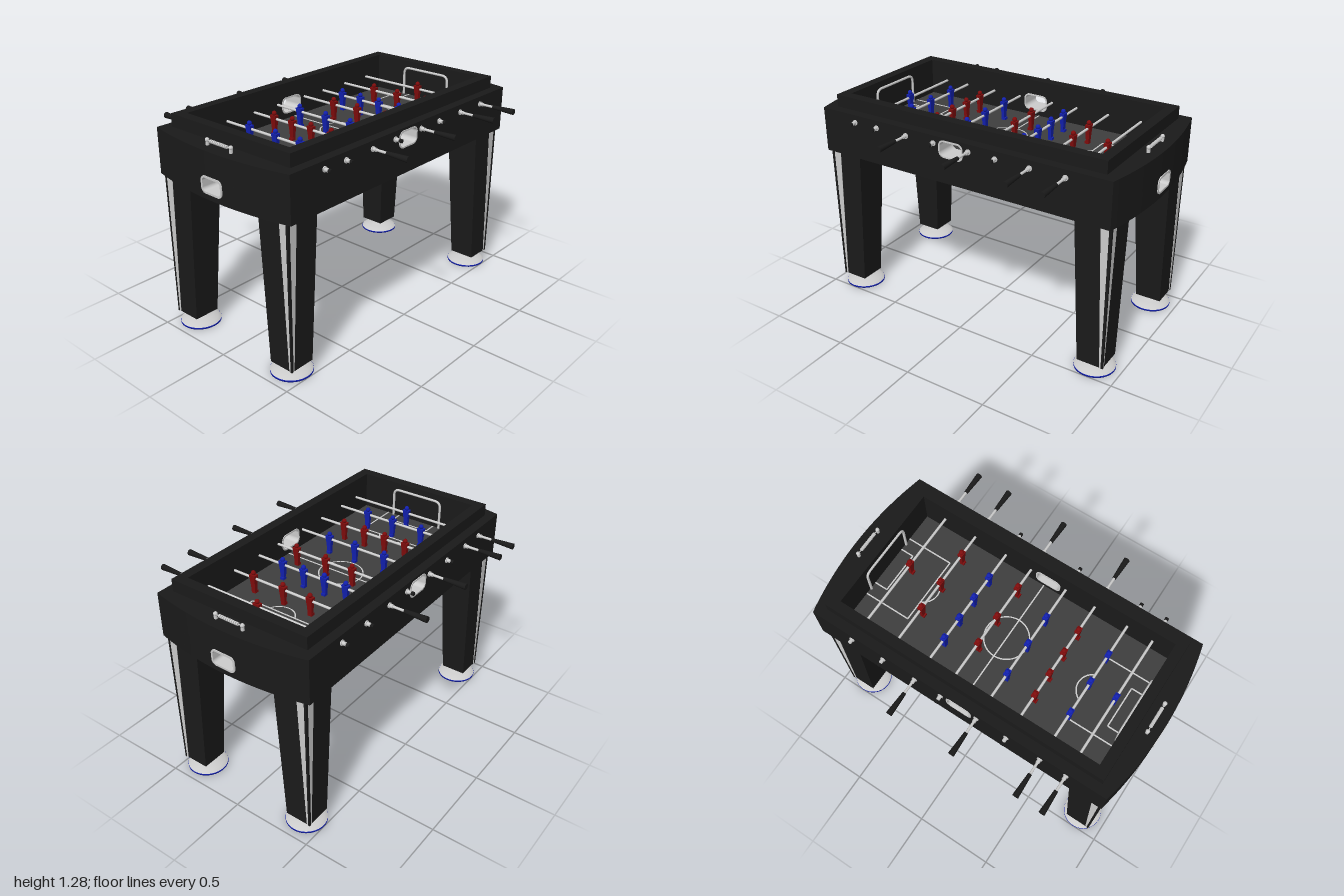
import * as THREE from 'three';

const mat = (color) => new THREE.MeshStandardMaterial({ color });
const grey = mat(0xcccccc), black = mat(0x1a1a1a), turf = mat(0x3e3e3e);
const blue = mat(0x1220b0), red = mat(0x800c0c);

function add(parent, name, geo, material, x = 0, y = 0, z = 0) {
  const m = new THREE.Mesh(geo, material);
  m.name = name;
  m.position.set(x, y, z);
  parent.add(m);
  return m;
}

const box = (w, h, d) => new THREE.BoxGeometry(w, h, d);
const cylZ = (r1, r2, len, n = 20) => new THREE.CylinderGeometry(r1, r2, len, n).rotateX(Math.PI / 2);
const extrude = (shape, depth) => new THREE.ExtrudeGeometry(shape, { depth, bevelEnabled: false, curveSegments: 10 });

// Rounded rectangle outline centred on (cx, cy)
function roundRect(path, cx, cy, w, h, r) {
  const a = w / 2 - r, b = h / 2 - r;
  path.moveTo(cx + a + r, cy - b);
  path.absarc(cx + a, cy + b, r, 0, Math.PI / 2);
  path.absarc(cx - a, cy + b, r, Math.PI / 2, Math.PI);
  path.absarc(cx - a, cy - b, r, Math.PI, Math.PI * 1.5);
  path.absarc(cx + a, cy - b, r, Math.PI * 1.5, Math.PI * 2);
  path.closePath();
  return path;
}

function ringShape(w, h, r, t) {
  const s = roundRect(new THREE.Shape(), 0, 0, w, h, r);
  s.holes.push(roundRect(new THREE.Path(), 0, 0, w - 2 * t, h - 2 * t, r - t));
  return s;
}

function rectShape(w, h) {
  return new THREE.Shape([[-w, -h], [w, -h], [w, h], [-w, h]].map(([x, y]) => new THREE.Vector2(x / 2, y / 2)));
}

// Box tapered between a bottom and a top rectangle [x0, x1, z0, z1]
function taper(bottom, top, y0, y1) {
  const g = box(1, 1, 1), p = g.attributes.position;
  for (let i = 0; i < p.count; i++) {
    const up = p.getY(i) > 0, r = up ? top : bottom;
    const [xa, xb] = [Math.min(r[0], r[1]), Math.max(r[0], r[1])];
    const [za, zb] = [Math.min(r[2], r[3]), Math.max(r[2], r[3])];
    p.setXYZ(i, p.getX(i) > 0 ? xb : xa, up ? y1 : y0, p.getZ(i) > 0 ? zb : za);
  }
  g.computeVertexNormals();
  return g;
}

const IX = 0.82, IZ = 0.39, OZ = 0.505, FIELD = 1.06, ROD = 1.165;

// Bowed end block; notch leaves room for the ball return
function endLayer(y0, y1, notch) {
  const pts = [new THREE.Vector2(IX, -OZ)];
  const bow = (z) => new THREE.Vector2(0.94 + 0.06 * (1 - (z / OZ) ** 2), z);
  const range = (a, b, n) => { for (let i = 0; i <= n; i++) pts.push(bow(a + (b - a) * i / n)); };
  if (notch) {
    range(-OZ, -0.073, 10);
    pts.push(new THREE.Vector2(0.9, -0.073), new THREE.Vector2(0.9, 0.073));
    range(0.073, OZ, 10);
  } else range(-OZ, OZ, 24);
  pts.push(new THREE.Vector2(IX, OZ));
  return extrude(new THREE.Shape(pts), y1 - y0).rotateX(-Math.PI / 2).translate(0, y0, 0);
}

function makeEnd() {
  const g = new THREE.Group();
  add(g, 'endWallBottom', endLayer(0.94, 0.983, false), black);
  add(g, 'endWallMiddle', endLayer(0.983, 1.062, true), black);
  add(g, 'endWallTop', endLayer(1.062, 1.21, false), black);
  add(g, 'ballReturnFrame', extrude(ringShape(0.16, 0.1, 0.032, 0.012), 0.104).rotateY(Math.PI / 2), grey, 0.9, 1.0225, 0);
  // Goal frame on the inner wall
  const path = new THREE.CurvePath(), v = (y, z) => new THREE.Vector3(IX - 0.004, y, z);
  path.add(new THREE.LineCurve3(v(FIELD, -0.17), v(1.2, -0.17)));
  path.add(new THREE.QuadraticBezierCurve3(v(1.2, -0.17), v(1.24, -0.17), v(1.24, -0.13)));
  path.add(new THREE.LineCurve3(v(1.24, -0.13), v(1.24, 0.13)));
  path.add(new THREE.QuadraticBezierCurve3(v(1.24, 0.13), v(1.24, 0.17), v(1.2, 0.17)));
  path.add(new THREE.LineCurve3(v(1.2, 0.17), v(FIELD, 0.17)));
  add(g, 'goalFrame', new THREE.TubeGeometry(path, 60, 0.008, 8), grey);
  // Score counter
  for (const z of [-0.09, 0.09]) {
    add(g, 'counterPost', new THREE.CylinderGeometry(0.01, 0.01, 0.03, 16), grey, 0.935, 1.222, z);
    add(g, 'counterKnob', new THREE.SphereGeometry(0.012, 16, 10), grey, 0.935, 1.238, z);
  }
  add(g, 'counterRod', cylZ(0.003, 0.003, 0.18, 8), grey, 0.935, 1.235, 0);
  for (let i = 0; i < 10; i++) add(g, 'counterBead', cylZ(0.01, 0.01, 0.009, 12), grey, 0.935, 1.235, -0.058 + i * 0.0129);
  return g;
}

function makeLeg(sx, sz) {
  const g = new THREE.Group();
  g.name = 'leg';
  const r = (a, b, c, d) => [a * sx, b * sx, c * sz, d * sz];
  const y0 = 0.065, y1 = 0.945;
  add(g, 'legPost', taper(r(0.77, 0.928, 0.31, 0.469), r(0.72, 0.933, 0.265, 0.472), y0, y1), black);
  // Metal wedges either side of a dark corner rib
  add(g, 'legTrimLong', taper(r(0.91, 0.925, 0.45, 0.471), r(0.87, 0.925, 0.45, 0.474), y0, y1), grey);
  add(g, 'legTrimEnd', taper(r(0.91, 0.93, 0.452, 0.463), r(0.91, 0.935, 0.415, 0.463), y0, y1), grey);
  add(g, 'legCornerRib', taper(r(0.919, 0.932, 0.463, 0.473), r(0.92, 0.937, 0.463, 0.476), y0, y1), black);
  const dome = [[0, 0.03], [0.04, 0.026], [0.118, 0.008], [0.119, 0.011], [0.1, 0.022], [0.07, 0.031], [0.036, 0.037], [0.034, 0.042], [0.034, 0.068]];
  const lathe = (p) => new THREE.LatheGeometry(p.map(([x, y]) => new THREE.Vector2(x, y)), 40);
  add(g, 'foot', lathe(dome), grey, 0.84 * sx, 0, 0.38 * sz);
  add(g, 'footRim', lathe([[0.112, 0.009], [0.112, 0], [0.12, 0], [0.12, 0.01], [0.112, 0.011]]), blue, 0.84 * sx, 0, 0.38 * sz);
  return g;
}

// One player hanging from a rod, facing dir along x
function makePlayer(color, dir) {
  const g = new THREE.Group();
  g.name = 'player';
  add(g, 'torso', taper([-0.011, 0.011, -0.015, 0.015], [-0.015, 0.015, -0.021, 0.021], -0.035, 0.022), color);
  add(g, 'head', new THREE.SphereGeometry(0.014, 14, 10), color, 0, 0.033, 0);
  add(g, 'legs', taper([-0.008, 0.008, -0.012, 0.012], [-0.011, 0.011, -0.015, 0.015], -0.09, -0.035), color);
  add(g, 'shoe', box(0.026, 0.014, 0.026), color, 0.004 * dir, -0.086, 0);
  return g;
}

// x, handle side, colour, player positions along the rod
const three = [-0.205, 0, 0.185], four = [-0.225, -0.08, 0.065, 0.215], away = [-0.145, 0.04, 0.25];
const RODS = [
  [-0.70, -1, blue, [0]], [-0.54, -1, blue, three], [-0.33, 1, red, four], [-0.14, -1, blue, three],
  [0.09, 1, red, away], [0.26, -1, blue, four], [0.47, 1, red, away], [0.68, 1, red, [0.04]],
];

function makeRod([x, side, color, spots]) {
  const g = new THREE.Group();
  g.name = 'playerRod';
  g.position.set(x, ROD, 0);
  add(g, 'rod', cylZ(0.0075, 0.0075, 1.16, 14), grey, 0, 0, side * 0.04);
  const handle = add(g, 'handle', cylZ(0.018, 0.011, 0.14), black, 0, 0, side * 0.67);
  if (side < 0) handle.rotation.y = Math.PI;
  add(g, 'rodEndCap', cylZ(0.011, 0.011, 0.016), black, 0, 0, -side * 0.544);
  for (const s of [-1, 1]) {
    add(g, 'bearing', cylZ(0.016, 0.016, 0.012), grey, 0, 0, s * 0.505);
    add(g, 'bearingSleeve', cylZ(0.011, 0.011, 0.025), grey, 0, 0, s * 0.518);
  }
  for (const z of spots) {
    const p = makePlayer(color, color === blue ? 1 : -1);
    p.position.z = z;
    g.add(p);
  }
  return g;
}

function makeField() {
  const g = new THREE.Group();
  g.name = 'playfield';
  add(g, 'cabinetFloor', box(2 * IX, FIELD - 0.944, 2 * IZ), black, 0, (FIELD + 0.936) / 2, 0);
  add(g, 'fieldSurface', box(2 * IX, 0.004, 2 * IZ), turf, 0, FIELD, 0);
  const y = FIELD + 0.003, t = 0.008;
  const line = (w, d, x, z) => add(g, 'fieldLine', box(w, 0.002, d), grey, x, y, z);
  const arc = (r, x, start, len) => add(g, 'fieldArc', new THREE.RingGeometry(r - t, r, 48, 1, start, len).rotateX(-Math.PI / 2), grey, x, y + 0.001, 0);
  line(t, 2 * IZ, 0, 0);
  arc(0.133, 0, 0, Math.PI * 2);
  for (const s of [-1, 1]) {
    for (const [front, half] of [[0.532, 0.21], [0.738, 0.128]]) {
      line(t, 2 * half, s * front, 0);
      for (const e of [-1, 1]) line(IX - front, t, s * (IX + front) / 2, e * half);
    }
    arc(0.0975, s * 0.568, (s > 0 ? Math.PI : 0) - 1.17, 2.34);
  }
  return g;
}

export function createModel() {
  const model = new THREE.Group();
  model.name = 'tableFootballTable';

  // Long side walls with a see-through ball window
  const wall = rectShape(2 * IX, 0.27);
  wall.holes.push(roundRect(new THREE.Path(), -0.025, 0.07, 0.15, 0.092, 0.03));
  for (const s of [-1, 1]) {
    const z0 = s > 0 ? IZ : -OZ;
    add(model, 'sideWall', extrude(wall, OZ - IZ), black, 0, 1.075, z0);
    add(model, 'ballWindowFrame', extrude(ringShape(0.16, 0.102, 0.035, 0.009), OZ - IZ + 0.008), grey, -0.025, 1.145, z0 - 0.004);
  }

  // Bowed ends
  for (const name of ['rightEnd', 'leftEnd']) {
    const end = makeEnd();
    end.name = name;
    if (name === 'rightEnd') end.rotation.y = Math.PI;
    model.add(end);
  }

  // Raised top rim
  const rim = rectShape(1.76, 0.9);
  rim.holes.push(new THREE.Path(rectShape(2 * IX, 2 * IZ).getPoints()));
  add(model, 'topRim', extrude(rim, 0.075).rotateX(-Math.PI / 2), black, 0, 1.21, 0);

  model.add(makeField());
  for (const rod of RODS) model.add(makeRod(rod));
  for (const sx of [-1, 1]) for (const sz of [-1, 1]) model.add(makeLeg(sx, sz));
  return model;
}
